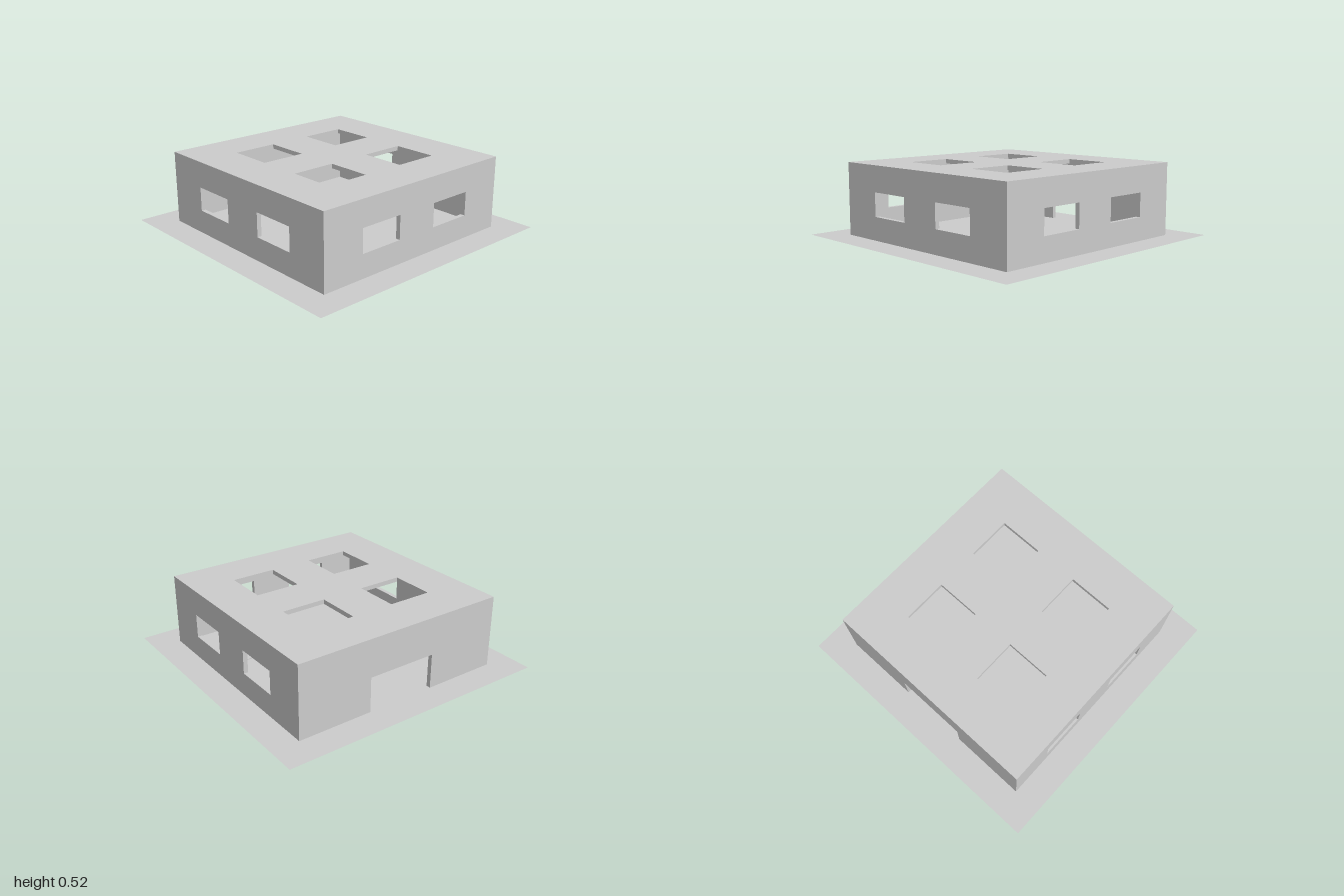
import * as THREE from 'three';

const HALF = 0.8;      // half width of the building
const HEIGHT = 0.525;  // top of the roof
const T = 0.032;       // wall and roof thickness

const material = new THREE.MeshStandardMaterial({ color: 0xcccccc, flatShading: true });
const thinMaterial = new THREE.MeshStandardMaterial({ color: 0xcccccc, side: THREE.DoubleSide });

function rect(PathType, x0, y0, x1, y1) {
  return new PathType([[x0, y0], [x1, y0], [x1, y1], [x0, y1]].map(p => new THREE.Vector2(...p)));
}

// Slab in the xy plane, thickness running back from z = 0 to z = -T
function panel(name, shape, holes = []) {
  shape.holes.push(...holes);
  const geometry = new THREE.ExtrudeGeometry(shape, { depth: T, bevelEnabled: false });
  geometry.translate(0, 0, -T);
  const mesh = new THREE.Mesh(geometry, material);
  mesh.name = name;
  return mesh;
}

// A pair of openings mirrored about the middle
const pair = (y0, y1) => [
  rect(THREE.Path, -0.485, y0, -0.16, y1),
  rect(THREE.Path, 0.16, y0, 0.485, y1),
];

export function createModel() {
  const model = new THREE.Group();
  model.name = 'building';
  const wallTop = HEIGHT - T;

  // Ground sheet
  const ground = new THREE.Mesh(new THREE.PlaneGeometry(2, 2), thinMaterial);
  ground.name = 'ground';
  ground.rotation.x = -Math.PI / 2;
  model.add(ground);

  // Front wall with two windows
  const front = panel('frontWall', rect(THREE.Shape, -HALF, 0, HALF, wallTop), pair(0.167, 0.338));
  front.position.z = HALF;
  model.add(front);

  // Side walls with two windows each, fitted between front and back
  for (const side of [-1, 1]) {
    const w = HALF - T;
    const wall = panel(side > 0 ? 'leftWall' : 'rightWall',
      rect(THREE.Shape, -w, 0, w, wallTop), pair(0.167, 0.338));
    wall.rotation.y = side * Math.PI / 2;
    wall.position.x = side * HALF;
    model.add(wall);
  }

  // Back wall with a wide doorway open down to the ground
  const backShape = new THREE.Shape([
    [-HALF, 0], [-0.255, 0], [-0.255, 0.252], [0.255, 0.252],
    [0.255, 0], [HALF, 0], [HALF, wallTop], [-HALF, wallTop],
  ].map(p => new THREE.Vector2(...p)));
  const back = panel('backWall', backShape);
  back.rotation.y = Math.PI;
  back.position.z = -HALF;
  model.add(back);

  // Flat roof with four skylights
  const roof = panel('roof', rect(THREE.Shape, -HALF, -HALF, HALF, HALF),
    [...pair(-0.485, -0.16), ...pair(0.16, 0.485)]);
  roof.rotation.x = -Math.PI / 2;
  roof.position.y = HEIGHT;
  model.add(roof);

  // Low floor step across the front part of the room
  const depth = HALF - T - 0.25;
  const step = new THREE.Mesh(new THREE.BoxGeometry(2 * (HALF - T), 0.005, depth), material);
  step.name = 'floorStep';
  step.position.set(0, 0.0025, 0.25 + depth / 2);
  model.add(step);

  return model;
}
